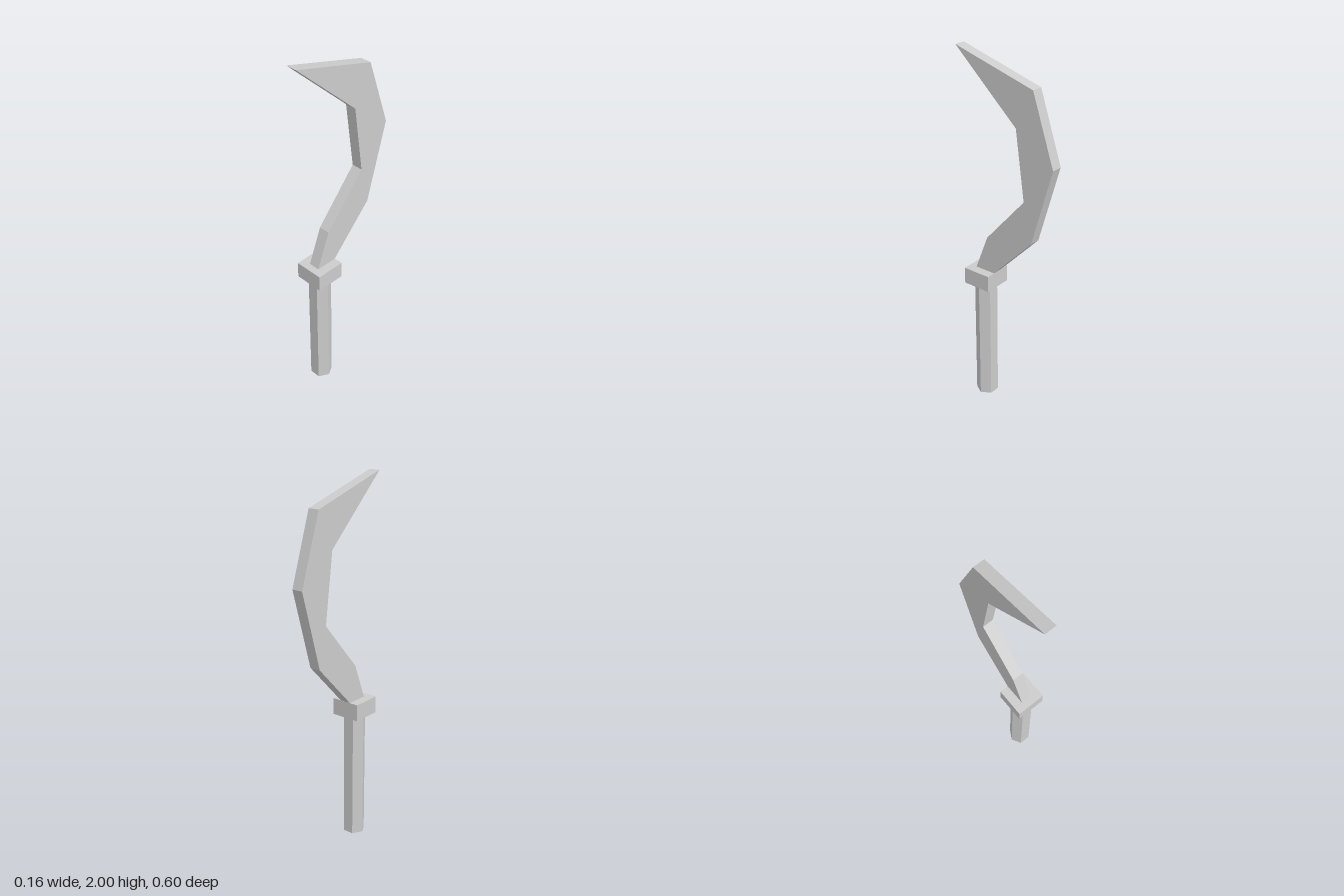
import * as THREE from 'three';

export function createModel() {
  const model = new THREE.Group();
  const grey = new THREE.MeshStandardMaterial({ color: 0xcccccc, flatShading: true });
  grey.name = 'plain grey';

  const add = (name, geometry, y = 0, z = 0) => {
    const mesh = new THREE.Mesh(geometry, grey);
    mesh.name = name;
    mesh.position.set(0, y, z);
    model.add(mesh);
  };

  // Grip: six-sided bar with flat faces to front and back
  const gripHeight = 0.714;
  add('handle', new THREE.CylinderGeometry(0.061, 0.061, gripHeight, 6, 1, false, Math.PI / 6), gripHeight / 2, 0.15);

  // Square guard between grip and blade
  add('guard', new THREE.BoxGeometry(0.162, 0.092, 0.162), 0.76, 0.149);

  // Hooked blade: side outline as (z, y), extruded across x
  const outline = [
    [0.07, 0.805], [-0.174, 1.06], [-0.298, 1.493], [-0.174, 1.864], [0.298, 2],
    [-0.074, 1.655], [-0.125, 1.28], [0.113, 1.006], [0.19, 0.805],
  ];
  const thickness = 0.062;
  const blade = new THREE.ExtrudeGeometry(
    new THREE.Shape(outline.map(([z, y]) => new THREE.Vector2(z, y))),
    { depth: thickness, bevelEnabled: false },
  );
  blade.translate(0, 0, -thickness / 2).rotateY(-Math.PI / 2);
  add('blade', blade);

  return model;
}
